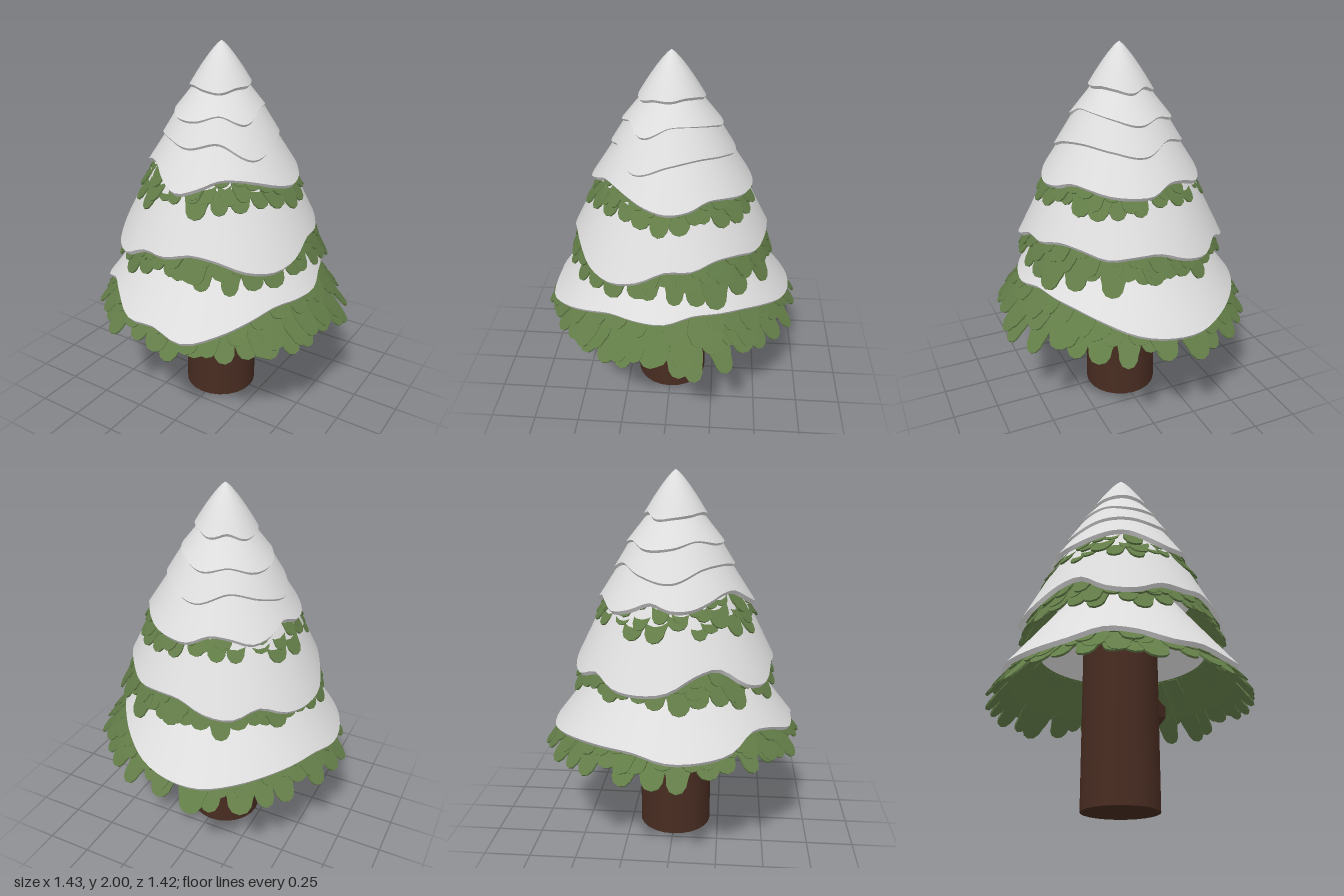
import * as THREE from 'three';
import { mergeGeometries } from 'three/addons/utils/BufferGeometryUtils.js';

const mat = (name, color, side = THREE.FrontSide) => {
  const m = new THREE.MeshStandardMaterial({ color, side });
  m.name = name;
  return m;
};

// Snow layers, top to bottom: cone radius r at height y, widening by slope going down.
// edge: heights of the wavy hem at equal angles, from the front (+z) round through +x.
const LAYERS = [
  { name: 'snowCap', top: 2, edge: [1.78, 1.77, 1.79, 1.79, 1.80, 1.79, 1.77, 1.79, 1.76, 1.77, 1.78, 1.79],
    radius: y => 0.165 * Math.pow(Math.max(0, 2 - y) / 0.22, 0.8) },
  { name: 'snowUpper', top: 1.85, r: 0.255, y: 1.64, slope: 0.8,
    edge: [1.64, 1.67, 1.63, 1.68, 1.68, 1.66, 1.63, 1.65, 1.62, 1.63, 1.66, 1.64] },
  { name: 'snowMiddle', top: 1.70, r: 0.345, y: 1.47, slope: 0.62,
    edge: [1.52, 1.55, 1.47, 1.52, 1.54, 1.52, 1.49, 1.54, 1.50, 1.47, 1.53, 1.54] },
  { name: 'snowShoulder', top: 1.56, r: 0.42, y: 1.33, slope: 0.65,
    edge: [1.32, 1.35, 1.39, 1.39, 1.37, 1.34, 1.32, 1.33, 1.36, 1.35, 1.33, 1.32,
      1.32, 1.36, 1.35, 1.32, 1.34, 1.38, 1.35, 1.35, 1.38, 1.41, 1.41, 1.36],
    leaves: { count: 25, tips: [1.22, 1.27, 1.33] } },
  { name: 'snowWide', top: 1.40, r: 0.56, y: 0.97, slope: 0.5,
    edge: [1.02, 1.05, 1.03, 0.98, 0.96, 0.99, 1.05, 1.05, 1.08, 1.07, 1.04, 1.05,
      1.05, 1.00, 0.98, 1.02, 0.97, 0.96, 0.98, 1.05, 1.07, 0.98, 0.96, 1.02],
    leaves: { count: 30, tips: [0.88, 0.93, 0.99] } },
  { name: 'snowSkirt', top: 1.12, r: 0.66, y: 0.66, slope: 0.78,
    edge: [0.68, 0.64, 0.68, 0.73, 0.77, 0.77, 0.77, 0.80, 0.79, 0.77, 0.73, 0.68,
      0.65, 0.64, 0.66, 0.68, 0.69, 0.69, 0.66, 0.66, 0.68, 0.74, 0.72, 0.67],
    leaves: { count: 34, tips: [0.55, 0.61, 0.68] } },
];

// Smooth periodic interpolation through a list of values
function wave(list, u) {
  const n = list.length, f = u * n, i = Math.floor(f), t = f - i;
  const [a, b, c, d] = [-1, 0, 1, 2].map(k => list[(i + k + n) % n]);
  return b + 0.5 * t * (c - a + t * (2 * a - 5 * b + 4 * c - d + t * (3 * (b - c) + d - a)));
}

// Closed loft: point(u, row) gives [radius, height]; rows run downwards
function loft(rows, point, seg = 72) {
  const pos = [], idx = [];
  for (let j = 0; j < rows; j++) for (let i = 0; i < seg; i++) {
    const a = (i / seg) * Math.PI * 2, [r, y] = point(i / seg, j);
    pos.push(Math.sin(a) * r, y, Math.cos(a) * r);
  }
  for (let j = 0; j + 1 < rows; j++) for (let i = 0; i < seg; i++) {
    const a = j * seg + i, b = j * seg + (i + 1) % seg;
    idx.push(a, a + seg, b, b, a + seg, b + seg);
  }
  const g = new THREE.BufferGeometry();
  g.setAttribute('position', new THREE.Float32BufferAttribute(pos, 3));
  g.setIndex(idx);
  g.computeVertexNormals();
  return g;
}

// Tongue-shaped leaf plate with its tip at the origin, narrowing to its root
function leafGeometry(w, len) {
  const s = new THREE.Shape();
  s.moveTo(0, 0);
  s.bezierCurveTo(w * 0.3, 0, w * 0.42, len * 0.1, w * 0.42, len * 0.2);
  s.quadraticCurveTo(w * 0.54, len * 0.3, w * 0.48, len * 0.45);
  s.lineTo(w * 0.25, len);
  s.lineTo(-w * 0.25, len);
  s.lineTo(-w * 0.48, len * 0.45);
  s.quadraticCurveTo(-w * 0.54, len * 0.3, -w * 0.42, len * 0.2);
  s.bezierCurveTo(-w * 0.42, len * 0.1, -w * 0.3, 0, 0, 0);
  return new THREE.ExtrudeGeometry(s, { depth: 0.01, bevelEnabled: false, curveSegments: 3 });
}

export function createModel() {
  const snow = mat('snow', 0xdedede, THREE.DoubleSide);
  const green = mat('leaf green', 0x637d48, THREE.DoubleSide);
  const bark = mat('bark', 0x482c21);
  const tree = new THREE.Group();
  tree.name = 'snowyTree';
  const add = (name, geometry, material, x = 0) => {
    const m = new THREE.Mesh(geometry, material);
    m.name = name;
    m.position.x = x;
    tree.add(m);
    return m;
  };
  let seed = 7;
  const rand = () => (seed = (seed * 16807) % 2147483647) / 2147483647 - 0.5;

  // Trunk and six-sided cut branch stub, one corner pointing down
  add('trunk', new THREE.CylinderGeometry(0.202, 0.202, 0.95, 24).translate(-0.017, 0.475, 0), bark);
  const stubGeo = new THREE.CylinderGeometry(0.06, 0.11, 0.1, 6).rotateY(Math.PI / 6).rotateZ(-Math.PI / 2).toNonIndexed();
  stubGeo.computeVertexNormals();
  add('branchStub', stubGeo, bark, 0.2).position.y = 0.555;

  for (const L of LAYERS) {
    const radius = L.radius || (y => L.r + (L.y - y) * L.slope);

    // Snow shell: outer cone, narrow rim and inner lining
    const rows = 9;
    const outer = loft(rows, (u, j) => {
      const y = L.top + (wave(L.edge, u) - L.top) * Math.pow(j / (rows - 1), 1.3);
      return [radius(y), y];
    });
    const rim = loft(2, (u, j) => {
      const y = wave(L.edge, u);
      return [radius(y) - 0.014 * j, y - 0.02 * j];
    });
    const lining = loft(2, (u, j) => {
      const y = wave(L.edge, u);
      return j ? [Math.max(0, radius(L.top) - 0.02), L.top - 0.02] : [radius(y) - 0.014, y - 0.02];
    });
    add(L.name, mergeGeometries([outer, rim, lining]), snow, -0.012);
    if (!L.leaves) continue;

    // Overlapping rows of drooping leaves, lowest row first, roots tucked under the snow
    const { count, tips } = L.leaves, parts = [];
    const lean = L.slope + 0.07, slant = Math.hypot(1, lean);
    tips.forEach((tip, row) => {
      for (let i = 0; i < count; i++) {
        const a = ((i + row * 0.5 + rand() * 0.5) / count) * Math.PI * 2;
        const y = tip + rand() * 0.08;
        const r = radius(y) - 0.05 + row * 0.006 + rand() * 0.01;
        const width = (2 * Math.PI * r / count) * (1.05 + rand() * 0.3);
        const X = new THREE.Vector3(Math.cos(a), 0, -Math.sin(a));
        const Y = new THREE.Vector3(-Math.sin(a) * lean, 1, -Math.cos(a) * lean).normalize();
        const Z = new THREE.Vector3().crossVectors(X, Y);
        const m = new THREE.Matrix4().makeBasis(X, Y, Z).setPosition(Math.sin(a) * r, y, Math.cos(a) * r);
        const len = (tips[0] + 0.28 - y) * slant;
        parts.push(leafGeometry(width, len).rotateZ(rand() * 0.2).applyMatrix4(m));
      }
    });
    add(L.name.replace('snow', 'leaves'), mergeGeometries(parts), green, -0.006);

    // Smooth green band behind the leaves
    const y0 = tips[0] + 0.29, y1 = tips[0] + 0.1;
    add(L.name.replace('snow', 'leafBand'),
      loft(2, (u, j) => { const y = j ? y1 : y0; return [radius(y) - 0.065, y]; }), green, -0.006);
  }
  return tree;
}
